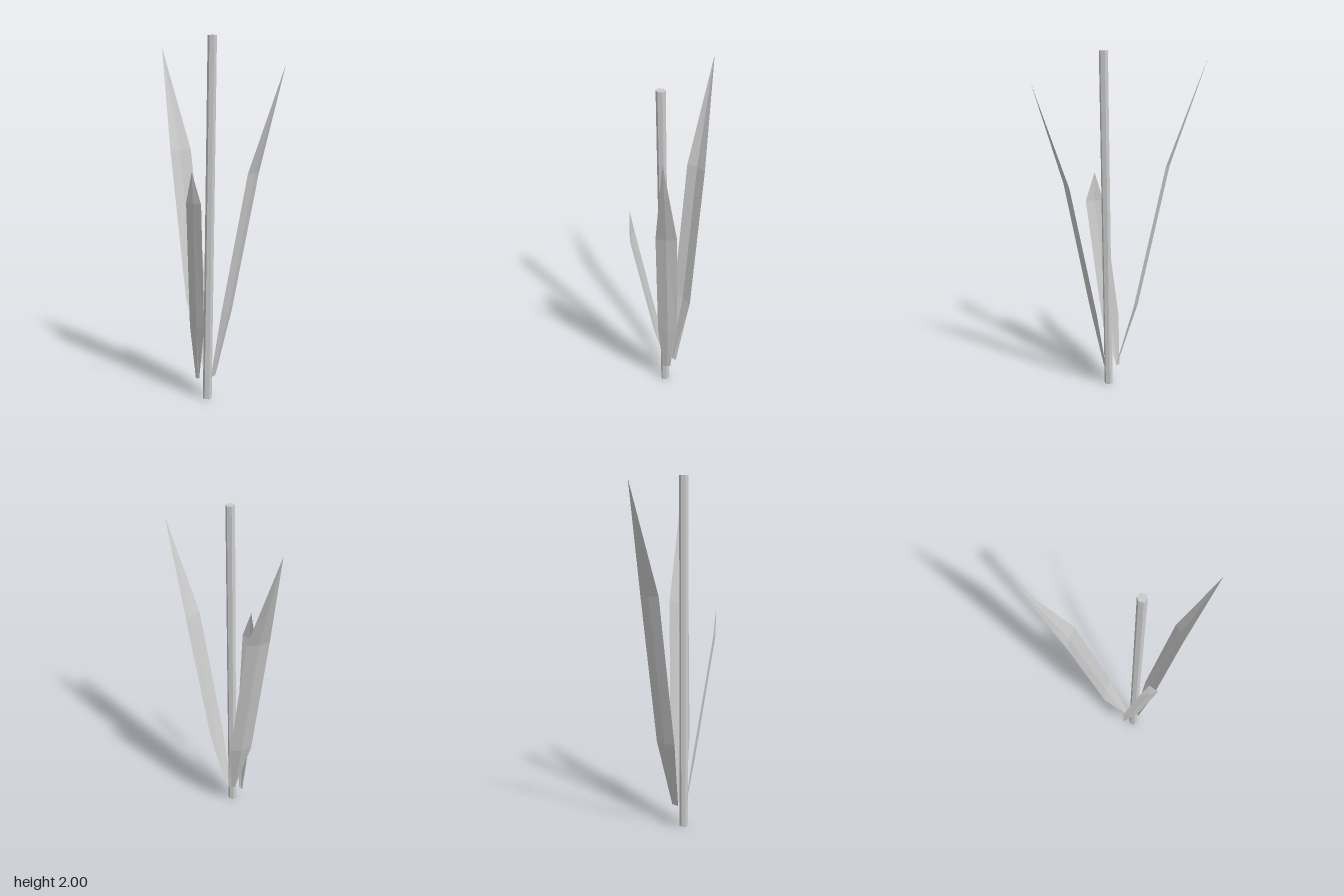
import * as THREE from 'three';

const material = new THREE.MeshStandardMaterial({ color: 0xcccccc, flatShading: true, side: THREE.DoubleSide });

// Folded blade: rows of [y, left xz, right xz, midrib offset xz], closing in a tip point
function leaf(name, rows, tip) {
  const pos = [], index = [];
  for (const [y, [ax, az], [bx, bz], [dx, dz]] of rows) {
    pos.push(ax, y, az, (ax + bx) / 2 + dx, y, (az + bz) / 2 + dz, bx, y, bz);
  }
  pos.push(...tip);
  const last = rows.length - 1, tipIndex = rows.length * 3;
  for (let r = 0; r <= last; r++) {
    for (let c = 0; c < 2; c++) {
      const i = r * 3 + c;
      if (r < last) index.push(i, i + 1, i + 4, i, i + 4, i + 3);
      else index.push(i, i + 1, tipIndex);
    }
  }
  const geometry = new THREE.BufferGeometry();
  geometry.setAttribute('position', new THREE.Float32BufferAttribute(pos, 3));
  geometry.setIndex(index);
  geometry.computeVertexNormals();
  const mesh = new THREE.Mesh(geometry, material);
  mesh.name = name;
  return mesh;
}

// Six-sided stem, sheared so that it leans while its ends stay level
function stem() {
  const geometry = new THREE.CylinderGeometry(0.025, 0.025, 2, 6);
  geometry.rotateY(Math.PI / 6);
  geometry.translate(0, 1, 0);
  const p = geometry.attributes.position;
  for (let i = 0; i < p.count; i++) {
    p.setX(i, p.getX(i) - 0.056 + 0.0155 * p.getY(i));
  }
  geometry.translate(0, 0, 0.128);
  geometry.computeVertexNormals();
  const mesh = new THREE.Mesh(geometry, material);
  mesh.name = 'stem';
  return mesh;
}

export function createModel() {
  const group = new THREE.Group();
  group.name = 'plant';
  group.add(
    stem(),
    leaf('tallBackLeaf', [
      [0.135, [-0.081, 0.08], [-0.042, 0.06], [0, 0.003]],
      [0.54, [-0.19, 0.01], [-0.077, -0.05], [-0.007, -0.01]],
      [1.38, [-0.295, -0.125], [-0.185, -0.185], [-0.007, -0.01]],
    ], [-0.37, 1.97, -0.315]),
    leaf('sideLeaf', [
      [0.13, [-0.012, 0.11], [-0.034, 0.15], [0.003, 0.001]],
      [0.51, [0.08, 0.097], [0.03, 0.198], [0.01, 0.004]],
      [1.28, [0.228, 0.151], [0.175, 0.25], [0.008, 0.004]],
    ], [0.367, 1.84, 0.275]),
    leaf('shortFrontLeaf', [
      [0.105, [-0.104, 0.108], [-0.124, 0.1], [0, 0.002]],
      [0.42, [-0.065, 0.19], [-0.152, 0.133], [-0.003, 0.008]],
      [1.12, [-0.065, 0.312], [-0.152, 0.255], [-0.003, 0.005]],
    ], [-0.117, 1.29, 0.289]),
  );
  return group;
}
